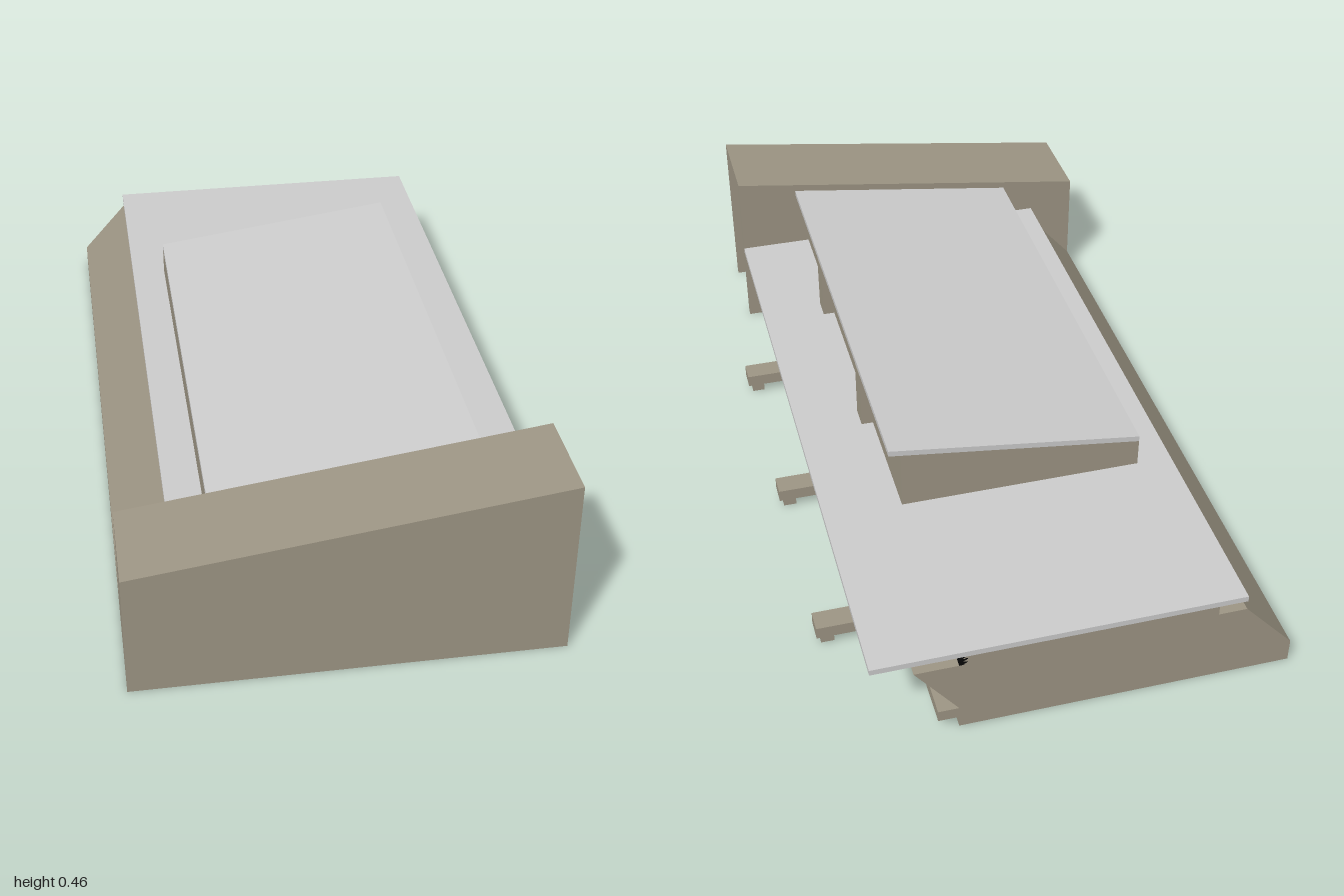
import * as THREE from 'three';

export function createModel() {
  const model = new THREE.Group();
  const mat = (name, color) => {
    const m = new THREE.MeshStandardMaterial({ color, side: THREE.DoubleSide });
    m.name = name;
    return m;
  };
  const beige = mat('beige', 0x9d9584);
  const grey = mat('light grey', 0xcccccc);
  const black = mat('black', 0x080808);

  const add = (name, geometry, material) => {
    const mesh = new THREE.Mesh(geometry, material);
    mesh.name = name;
    model.add(mesh);
    return mesh;
  };
  // Box given by its limits on each axis
  const box = (name, material, x0, x1, y0, y1, z0, z1) => add(name,
    new THREE.BoxGeometry(x1 - x0, y1 - y0, z1 - z0)
      .translate((x0 + x1) / 2, (y0 + y1) / 2, (z0 + z1) / 2), material);
  // Profile in x and y, extruded from z0 to z1
  const prism = (name, material, points, z0, z1) => {
    const shape = new THREE.Shape(points.map(([x, y]) => new THREE.Vector2(x, y)));
    return add(name, new THREE.ExtrudeGeometry(shape, { depth: z1 - z0, bevelEnabled: false })
      .translate(0, 0, z0), material);
  };

  // Tall front housing, open below and on its left side
  const L = -0.545, R = 0.475, lowY = 0.317, highY = 0.457;
  const gable = [[L, 0], [R, 0], [R, highY], [L, lowY]];
  prism('housingFrontWall', beige, gable, 0.985, 1);
  prism('housingRearWall', beige, gable, 0.75, 0.77);
  box('housingEndWall', beige, L, L + 0.015, 0, lowY - 0.01, 0.77, 0.985);
  prism('housingRoof', beige,
    [[L, lowY - 0.012], [R, highY - 0.012], [R, highY], [L, lowY]], 0.77, 0.985);

  // Bent panel set back inside the housing
  prism('recessPanel', grey,
    [[0.32, 0], [0.32, 0.155], [0.395, 0.438], [0.385, 0.438], [0.31, 0.155], [0.31, 0]], 0.77, 0.985);

  // Hollow main body with sloping sides
  prism('bodyOuterSide', beige, [[L, 0], [L, 0.06], [-0.42, 0.2], [-0.34, 0.2],
    [-0.34, 0.19], [-0.415, 0.19], [L + 0.01, 0.055], [L + 0.01, 0]], -0.99, 0.75);
  prism('bodyUndercutSide', beige, [[0.27, 0], [0.27, 0.06], [0.375, 0.2], [0.25, 0.2],
    [0.25, 0.19], [0.355, 0.19], [0.26, 0.065], [0.26, 0]], -0.99, 0.75);
  prism('bodyBackWall', beige, [[L, 0], [0.27, 0], [0.27, 0.06], [0.375, 0.2], [0.26, 0.2],
    [0.26, 0.225], [-0.35, 0.225], [-0.35, 0.2], [-0.42, 0.2], [L, 0.06]], -1, -0.99);
  box('deckBearer', beige, -0.35, -0.34, 0.2, 0.225, -0.99, 0.75);
  box('shadowGap', black, 0.25, 0.27, 0.2, 0.225, -1, 0.75);

  // Deck with an opening below the raised section
  box('deckBack', grey, -0.42, R, 0.225, 0.24, -1, -0.48);
  box('deckOuterStrip', grey, -0.42, -0.32, 0.225, 0.24, -0.48, 0.75);
  box('deckInnerStrip', grey, 0.27, R, 0.225, 0.24, -0.48, 0.75);

  // Raised section with a sloping lid
  const lidY = (x) => 0.415 + (x - 0.31) * 0.137;
  const under = (x) => lidY(x) - 0.015;
  prism('lid', grey, [[-0.33, under(-0.33)], [0.31, under(0.31)], [0.31, lidY(0.31)],
    [-0.33, lidY(-0.33)]], -0.487, 0.75);
  prism('raisedBackWall', beige, [[-0.33, 0.24], [0.28, 0.24], [0.28, under(0.28)],
    [-0.33, under(-0.33)]], -0.487, -0.477);
  box('raisedOuterWall', beige, -0.33, -0.32, 0.225, under(-0.33), -0.477, 0.75);
  box('raisedInnerWall', beige, 0.27, 0.28, 0.24, under(0.27), -0.477, 0.75);
  for (const z of [0.383, -0.128]) {
    box('pillar', beige, 0.28, 0.31, 0.24, under(0.28), z - 0.028, z + 0.028);
  }

  // Long rail carrying three footed arms
  box('rail', beige, 0.27, 0.32, 0.03, 0.06, -1, 0.75);
  for (const z of [0.38, -0.133, -0.647]) {
    box('arm', beige, 0.32, 0.54, 0.03, 0.062, z - 0.028, z + 0.028);
    box('foot', beige, 0.495, 0.528, 0, 0.03, z - 0.015, z + 0.015);
  }

  // Dark openings as thin plates on the undercut slope
  for (const z of [0.447, -0.062, -0.572]) {
    prism('slopeWindow', black, [[0.2925, 0.09], [0.375, 0.2], [0.379, 0.197], [0.2965, 0.087]],
      z - 0.09, z + 0.09);
  }

  return model;
}
